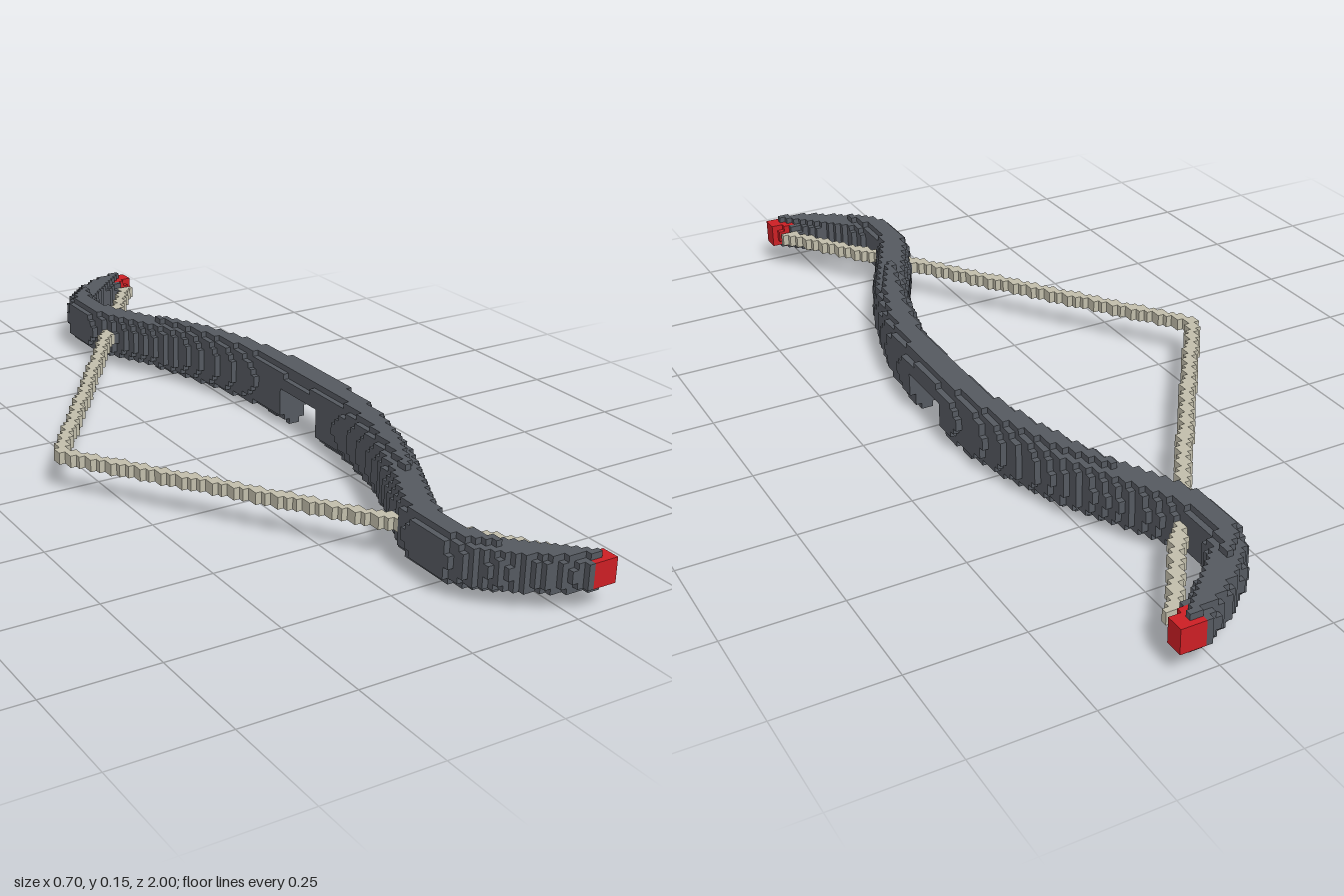
import * as THREE from 'three';

// Voxel grid: cell size and counts along x, y, z
const V = 2 / 146, NX = 51, NY = 11, NZ = 146;
const MID_Y = 6 * V;

// Bow centreline for one half: [distance from middle along z, x]
const CURVE = new THREE.CatmullRomCurve3([
  [-0.1, 0.306], [0, 0.309], [0.1, 0.306], [0.2, 0.296], [0.3, 0.274], [0.4, 0.245],
  [0.5, 0.204], [0.6, 0.155], [0.68, 0.119], [0.75, 0.107], [0.8, 0.114],
  [0.85, 0.139], [0.9, 0.187], [0.95, 0.256], [0.982, 0.308],
].map(([z, x]) => new THREE.Vector3(x, 0, z))).getSpacedPoints(260);

// Linear interpolation through [position, value] pairs
function ramp(pairs, t) {
  for (let i = 1; i < pairs.length; i++) {
    const [a, va] = pairs[i - 1], [b, vb] = pairs[i];
    if (t <= b) return va + (vb - va) * Math.max(0, (t - a) / (b - a));
  }
  return pairs[pairs.length - 1][1];
}
const HEIGHT = [[0, 0.072], [0.4, 0.066], [0.8, 0.053], [0.92, 0.045], [1, 0.03]];
const THICK = [[0, 0.041], [0.5, 0.038], [0.8, 0.036], [1, 0.03]];

// Distance from a point to the centreline, and where along z it is nearest
function nearest(x, z) {
  let best = Infinity, at = 0;
  for (const p of CURVE) {
    const d = (p.x - x) ** 2 + (p.z - z) ** 2;
    if (d < best) { best = d; at = p.z; }
  }
  return [Math.sqrt(best), Math.abs(at)];
}

// Decide which part, if any, fills a cell
function partAt(x, y, z, dist, at) {
  const az = Math.abs(z), dy = Math.abs(y - MID_Y);
  const inNotch = z > -0.062 && z < 0.078 && y < 7 * V;
  if (!inNotch) {
    const r = (dist / ramp(THICK, at)) ** 2.6 + (dy / ramp(HEIGHT, at)) ** 2.6;
    if (r < 1) {
      if (az > 0.95 && x > 0.283 && dy < 0.025) return 'nocks';
      if (az < 0.17) return 'grip';
      return z > 0 ? 'frontLimb' : 'backLimb';
    }
    // Small feet below the grip, either side of the arrow notch
    const gap = z < -0.088 && z > -0.118;
    if (y < V && az < 0.163 && !gap && x > 0.295 && x < 0.323) return 'grip';
  }
  // Drawn string, a V from tip to tip
  if (az < 0.935 && dy < V && Math.abs(x - (-0.341 + 0.695 * az)) < 0.0142) return 'string';
  return null;
}

// Cell faces: outward normal and the two edge directions (u cross v = normal)
const FACES = [
  [[1, 0, 0], [0, 1, 0], [0, 0, 1]], [[-1, 0, 0], [0, 0, 1], [0, 1, 0]],
  [[0, 1, 0], [0, 0, 1], [1, 0, 0]], [[0, -1, 0], [1, 0, 0], [0, 0, 1]],
  [[0, 0, 1], [1, 0, 0], [0, 1, 0]], [[0, 0, -1], [0, 1, 0], [1, 0, 0]],
];

export function createModel() {
  const gunmetal = new THREE.MeshStandardMaterial({ name: 'dark grey', color: 0x555960 });
  const cord = new THREE.MeshStandardMaterial({ name: 'pale cord', color: 0xc2beab });
  const red = new THREE.MeshStandardMaterial({ name: 'red', color: 0xcc1f24 });
  const parts = { grip: gunmetal, frontLimb: gunmetal, backLimb: gunmetal, string: cord, nocks: red };

  // Fill the grid
  const cells = new Map();
  const key = (i, j, k) => (i + 1) + 100 * ((j + 1) + 100 * (k + 1));
  for (let i = 0; i < NX; i++) for (let k = 0; k < NZ; k++) {
    const x = (i + 0.5 - NX / 2) * V, z = (k + 0.5 - NZ / 2) * V;
    const [dist, at] = nearest(x, Math.abs(z));
    for (let j = 0; j < NY; j++) {
      const part = partAt(x, (j + 0.5) * V, z, dist, at);
      if (part) cells.set(key(i, j, k), { part, c: [i, j, k] });
    }
  }

  // Keep only the exposed faces, gathered per part
  const data = {};
  for (const name in parts) data[name] = { pos: [], nor: [], idx: [] };
  for (const { part, c } of cells.values()) {
    const d = data[part];
    for (const [n, u, v] of FACES) {
      if (cells.has(key(c[0] + n[0], c[1] + n[1], c[2] + n[2]))) continue;
      const s = d.pos.length / 3;
      for (const [a, b] of [[0, 0], [1, 0], [1, 1], [0, 1]]) {
        const p = c.map((q, m) => q + Math.max(0, n[m]) + a * u[m] + b * v[m]);
        d.pos.push((p[0] - NX / 2) * V, p[1] * V, (p[2] - NZ / 2) * V);
        d.nor.push(...n);
      }
      d.idx.push(s, s + 1, s + 2, s, s + 2, s + 3);
    }
  }

  const group = new THREE.Group();
  group.name = 'bow';
  for (const name in parts) {
    const g = new THREE.BufferGeometry();
    g.setAttribute('position', new THREE.Float32BufferAttribute(data[name].pos, 3));
    g.setAttribute('normal', new THREE.Float32BufferAttribute(data[name].nor, 3));
    g.setIndex(data[name].idx);
    const mesh = new THREE.Mesh(g, parts[name]);
    mesh.name = name;
    group.add(mesh);
  }
  return group;
}
